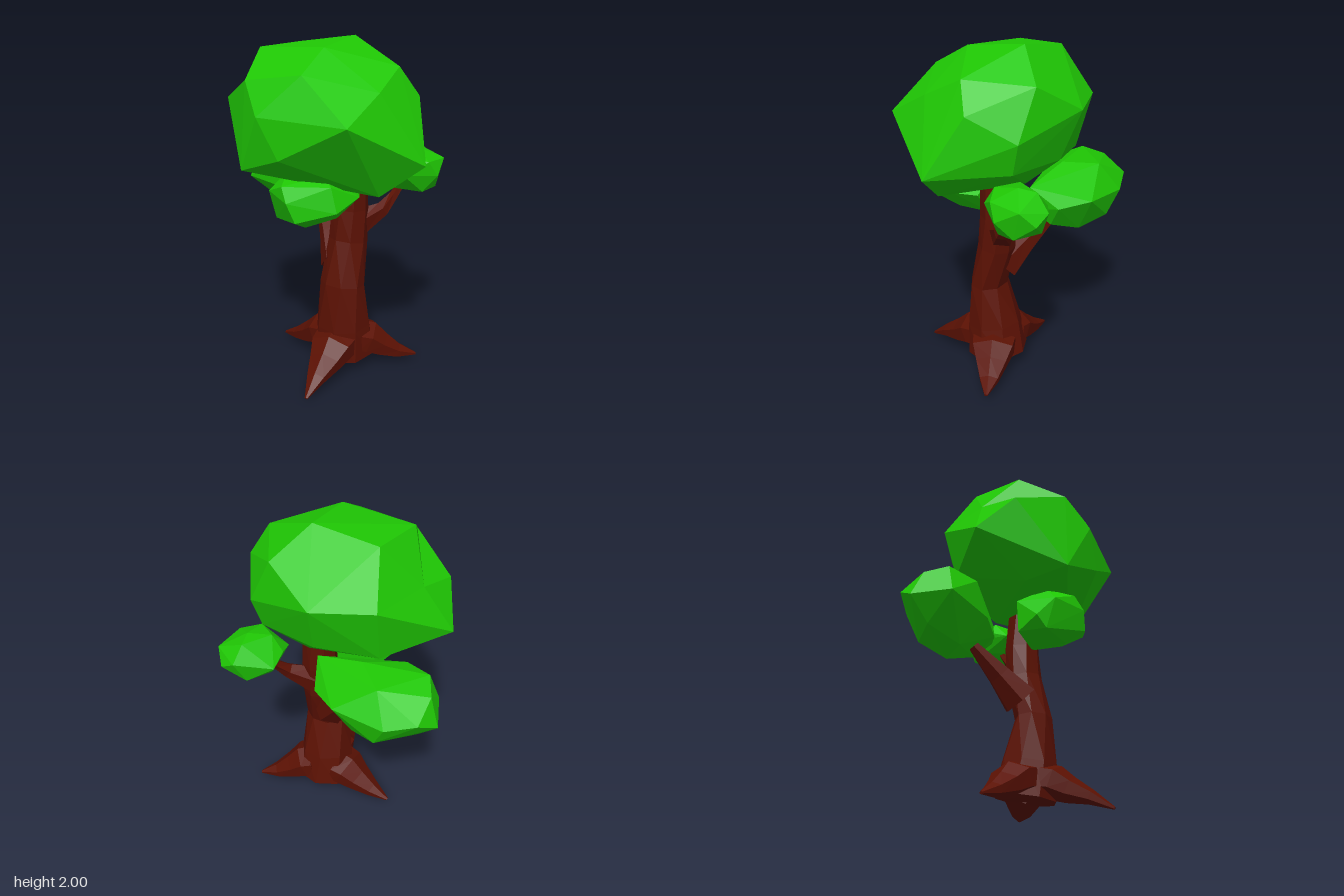
import * as THREE from 'three';
import { ConvexGeometry } from 'three/addons/geometries/ConvexGeometry.js';

const bark = new THREE.MeshStandardMaterial({ color: 0x5b1103, flatShading: true });
const leaf = new THREE.MeshStandardMaterial({ color: 0x1fc704, flatShading: true });

// Faceted clump of leaves: the convex hull of a few corners
function clump(name, corners) {
  const mesh = new THREE.Mesh(new ConvexGeometry(corners.map(p => new THREE.Vector3(...p))), leaf);
  mesh.name = name;
  return mesh;
}

// Push one hull corner inwards to make a dent
function dent(mesh, from, to) {
  const pos = mesh.geometry.attributes.position;
  const corner = new THREE.Vector3(...from), p = new THREE.Vector3();
  for (let i = 0; i < pos.count; i++) {
    if (p.fromBufferAttribute(pos, i).distanceTo(corner) < 1e-4) pos.setXYZ(i, ...to);
  }
  mesh.geometry.computeVertexNormals();
}

// Tapered limb through stations [x, y, z, radius along ref, radius across, twist]
function limb(name, stations, sides, ref) {
  const centres = stations.map(s => new THREE.Vector3(s[0], s[1], s[2]));
  const last = stations.length - 1, pos = [], index = [];
  stations.forEach(([, , , ru, rv = ru, twist = 0], i) => {
    const t = centres[Math.min(i + 1, last)].clone().sub(centres[Math.max(i - 1, 0)]).normalize();
    const u = ref.clone().addScaledVector(t, -ref.dot(t)).normalize();
    const v = t.clone().cross(u);
    for (let j = 0; j < sides; j++) {
      const a = (j / sides) * Math.PI * 2 + twist;
      const p = centres[i].clone().addScaledVector(u, ru * Math.cos(a)).addScaledVector(v, rv * Math.sin(a));
      pos.push(p.x, p.y, p.z);
    }
  });
  const start = pos.length / 3;
  pos.push(...centres[0].toArray(), ...centres[last].toArray());
  for (let j = 0; j < sides; j++) {
    const k = (j + 1) % sides;
    for (let i = 0; i < last; i++) {
      const a = i * sides + j, b = i * sides + k;
      index.push(a, b, a + sides, b, b + sides, a + sides);
    }
    index.push(start, k, j, start + 1, last * sides + j, last * sides + k);
  }
  const geo = new THREE.BufferGeometry();
  geo.setAttribute('position', new THREE.Float32BufferAttribute(pos, 3));
  geo.setIndex(index);
  geo.computeVertexNormals();
  const mesh = new THREE.Mesh(geo, bark);
  mesh.name = name;
  return mesh;
}

export function createModel() {
  const tree = new THREE.Group();
  tree.name = 'tree';
  const up = new THREE.Vector3(0, 1, 0), front = new THREE.Vector3(0, 0, 1);

  // Trunk, flared at the foot and leaning back above a kink
  tree.add(limb('trunk', [
    [0.15, 0.09, -0.01, 0.185, 0.19, 0],
    [0.15, 0.29, 0.015, 0.165, 0.17, 0.1],
    [0.155, 0.56, 0.045, 0.108, 0.137, 0.3],
    [0.163, 0.82, -0.015, 0.108, 0.118, 0.5],
    [0.167, 1.02, -0.03, 0.105, 0.11, 0.6],
    [0.17, 1.3, -0.02, 0.09, 0.1, 0.7],
  ], 8, front));

  // Three roots sharing one profile: [fraction of reach, y, half height, half width]
  const profile = [[0.22, 0.185, 0.1, 0.15], [0.35, 0.173, 0.1, 0.14], [0.52, 0.125, 0.075, 0.105], [0.75, 0.078, 0.042, 0.062]];
  const tips = { frontRoot: [0.15, 0.01, 0.5], leftRoot: [0.56, 0.055, -0.19], rightRoot: [-0.32, 0.04, -0.08] };
  for (const [name, [x, y, z]] of Object.entries(tips)) {
    const stations = profile.map(([f, h, ru, rv]) => [0.15 + (x - 0.15) * f, h, z * f, ru, rv]);
    tree.add(limb(name, [...stations, [x, y, z, 0.008, 0.01]], 6, up));
  }

  // Branches holding the two side clumps
  tree.add(limb('rightBranch', [
    [0.1, 0.67, -0.02, 0.115], [0.0, 0.805, -0.115, 0.075], [-0.13, 0.96, -0.23, 0.035],
  ], 6, front));
  tree.add(limb('leftBranch', [
    [0.2, 0.915, -0.07, 0.085], [0.325, 0.995, -0.15, 0.045], [0.37, 1.07, -0.21, 0.028], [0.4, 1.14, -0.26, 0.022],
  ], 5, front));

  // Main crown, with a step sunk into its right shoulder
  const shoulder = [-0.52, 1.82, 0.05];
  const crown = clump('crown', [
    [0.12, 2.0, -0.17], [-0.25, 1.95, -0.19], [-0.33, 1.94, 0.13], [0.11, 1.96, 0.2],
    [0.46, 1.86, 0], [0.45, 1.75, 0.24], [0.1, 1.84, 0.43], [-0.26, 1.79, 0.4],
    [0.4, 1.61, 0.52], [-0.13, 1.62, 0.51], [0, 1.4, 0.51], [-0.3, 1.29, 0.41],
    [-0.53, 1.65, 0.18], [-0.62, 1.44, -0.02], [0.67, 1.36, 0.11], [0.44, 1.18, 0.19],
    [0.55, 1.7, -0.08], [0.43, 1.56, -0.32], [0.29, 1.83, -0.34], [0.02, 1.67, -0.47],
    [-0.31, 1.68, -0.37], [-0.3, 1.35, -0.28], [0.05, 1.38, -0.36], [0.4, 1.38, -0.27],
    [-0.28, 1.25, 0.15], [0.15, 1.24, -0.2], shoulder,
  ]);
  dent(crown, shoulder, [-0.45, 1.7, -0.06]);
  tree.add(crown);

  // Low clump on the right, towards the back
  tree.add(clump('rightClump', [
    [-0.67, 1.06, -0.37], [-0.61, 1.22, -0.33], [-0.59, 1.13, -0.48], [-0.56, 1.26, -0.2],
    [-0.42, 1.08, -0.53], [-0.34, 1.25, -0.42], [-0.11, 1.1, -0.49], [-0.19, 1.275, -0.25],
    [-0.61, 1.08, -0.15], [-0.55, 0.93, -0.32], [-0.18, 0.88, -0.38], [-0.3, 0.9, -0.24],
    [-0.35, 0.93, -0.48], [0.01, 0.955, -0.29], [0.05, 1.08, -0.36], [0.1, 1.2, -0.2],
    [0.08, 1.06, -0.2], [-0.28, 1.05, -0.08], [-0.05, 1.04, -0.13], [-0.4, 1.23, -0.1],
  ]));

  // Low clump at the front
  tree.add(clump('frontClump', [
    [-0.23, 1.05, 0.2], [-0.19, 1.16, 0.3], [-0.11, 1.27, 0.22], [0.14, 1.28, 0.26],
    [-0.01, 1.14, 0.42], [-0.06, 1.22, 0.38], [0.22, 1.24, 0.33], [0.26, 1.1, 0.34],
    [0.04, 1.03, 0.41], [0.32, 1.16, 0.18], [0.2, 1.03, 0.22], [0.04, 0.97, 0.29],
    [-0.18, 0.98, 0.24], [-0.15, 1.0, 0.06], [0.13, 1.0, 0.05], [0.26, 1.15, 0.05],
    [-0.15, 1.2, 0.05], [0.08, 1.26, 0.04],
  ]));

  // Small clump on the left, towards the back
  tree.add(clump('leftClump', [
    [0.27, 1.2, -0.41], [0.27, 1.24, -0.29], [0.34, 1.33, -0.28], [0.46, 1.35, -0.34],
    [0.44, 1.34, -0.44], [0.46, 1.25, -0.52], [0.55, 1.2, -0.5], [0.6, 1.28, -0.43],
    [0.61, 1.2, -0.29], [0.57, 1.29, -0.24], [0.45, 1.32, -0.19], [0.46, 1.22, -0.13],
    [0.29, 1.21, -0.18], [0.38, 1.12, -0.2], [0.53, 1.1, -0.26], [0.57, 1.11, -0.38],
    [0.48, 1.08, -0.36], [0.42, 1.11, -0.46], [0.32, 1.12, -0.34],
  ]));

  return tree;
}
